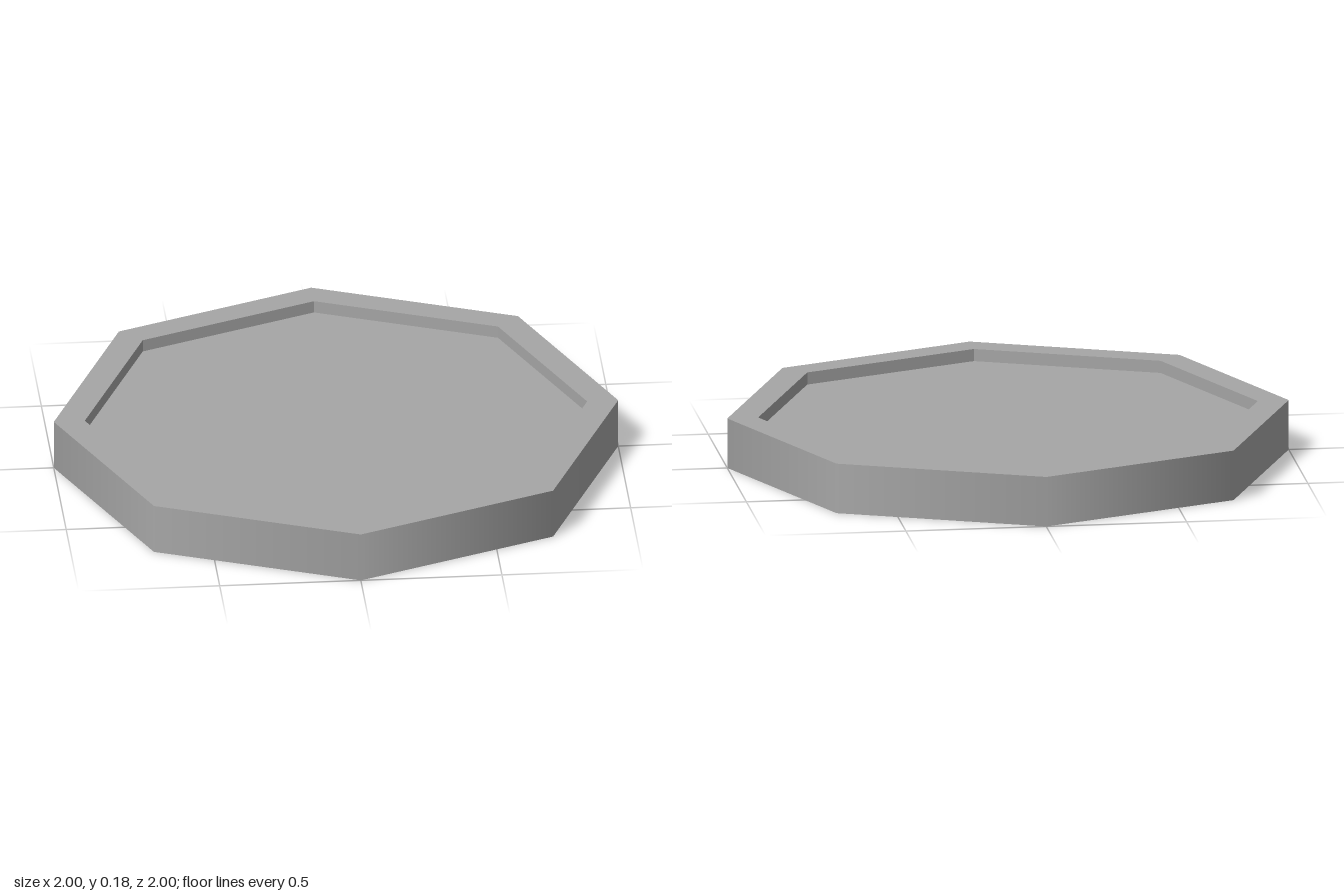
import * as THREE from 'three';

const SIDES = 8, OUTER = 1, INNER = 0.89, HEIGHT = 0.18, FLOOR = 0.136;

export function createModel() {
  const group = new THREE.Group();
  group.name = 'octagonalTray';
  const grey = new THREE.MeshStandardMaterial({ color: 0xa6a6a6 });
  grey.name = 'grey';

  const add = (name, geometry, y) => {
    const mesh = new THREE.Mesh(geometry, grey);
    mesh.name = name;
    mesh.position.y = y;
    group.add(mesh);
  };

  // Outer wall, shaded smoothly around the eight corners
  add('outerWall', new THREE.CylinderGeometry(OUTER, OUTER, HEIGHT, SIDES, 1, true), HEIGHT / 2);

  // Recess wall: mirrored so that it faces inward, with hard corners
  const recess = new THREE.CylinderGeometry(INNER, INNER, HEIGHT - FLOOR, SIDES, 1, true)
    .scale(-1, 1, 1)
    .toNonIndexed();
  recess.computeVertexNormals();
  add('recessWall', recess, (HEIGHT + FLOOR) / 2);

  // Flat rim, sunken floor and underside
  add('rim', new THREE.RingGeometry(INNER, OUTER, SIDES).rotateX(-Math.PI / 2), HEIGHT);
  add('trayFloor', new THREE.CircleGeometry(INNER, SIDES).rotateX(-Math.PI / 2), FLOOR);
  add('underside', new THREE.CircleGeometry(OUTER, SIDES).rotateX(Math.PI / 2), 0);

  return group;
}
